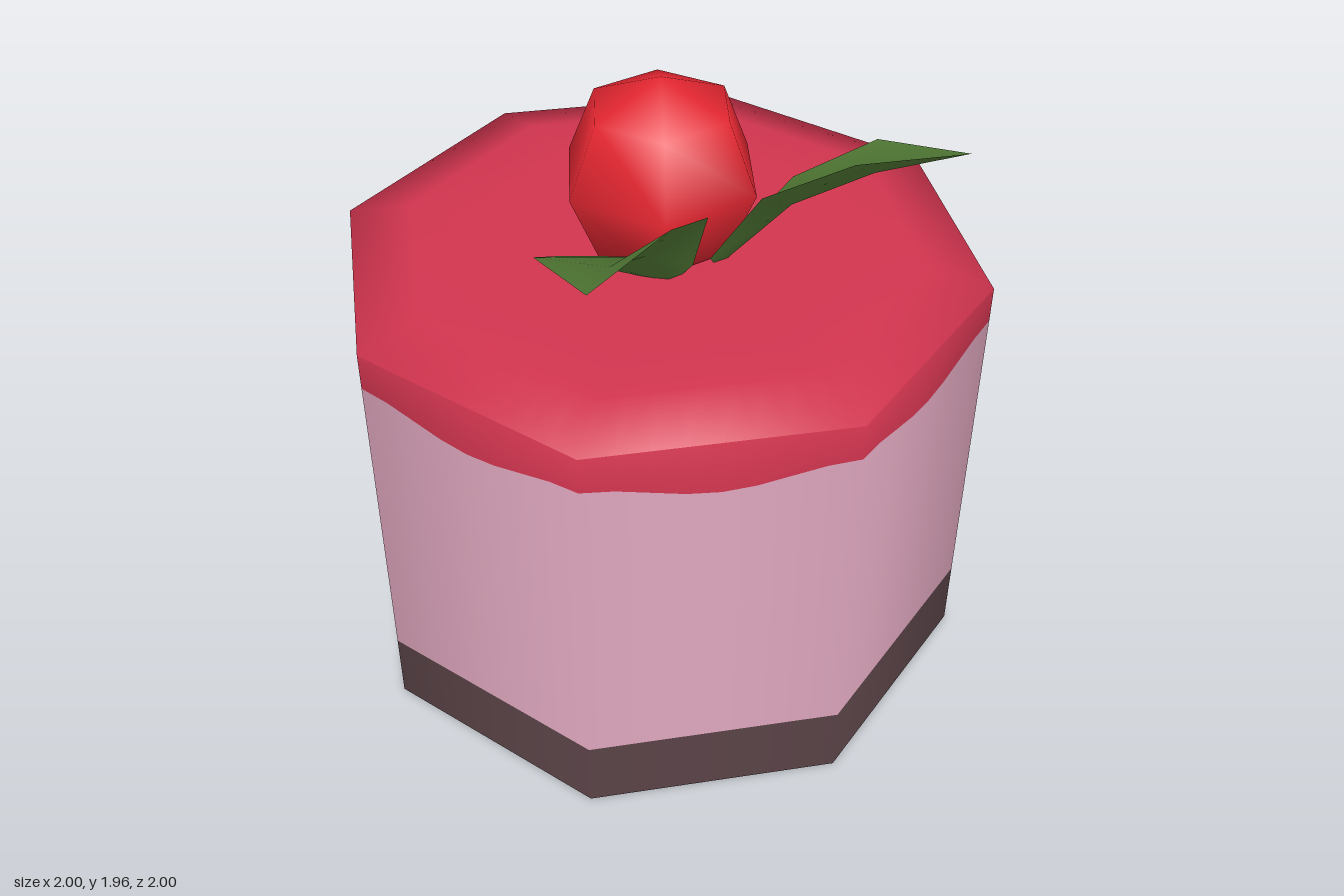
import * as THREE from 'three';

const SIDES = 8;
const STEPS = 8; // columns on each side, so the icing edge can wave

const mat = (name, color, side = THREE.FrontSide) => {
  const m = new THREE.MeshStandardMaterial({ color, side });
  m.name = name;
  return m;
};

function buildGeometry(positions, normals, index) {
  const g = new THREE.BufferGeometry();
  g.setAttribute('position', new THREE.Float32BufferAttribute(positions, 3));
  if (normals) g.setAttribute('normal', new THREE.Float32BufferAttribute(normals, 3));
  g.setIndex(index);
  if (!normals) g.computeVertexNormals();
  return g;
}

// Octagonal band through rings of { r, y, tilt }; y may be a function of the
// angle, tilt is the upward angle of the smooth normal.
function octagonBand(rings) {
  const pos = [], nor = [], idx = [];
  const cols = SIDES * STEPS;
  for (const { r, y, tilt = 0 } of rings) {
    for (let i = 0; i <= cols; i++) {
      const side = Math.floor(i / STEPS), f = (i % STEPS) / STEPS;
      const a = (side / SIDES) * Math.PI * 2, b = a + (Math.PI * 2) / SIDES;
      const x = THREE.MathUtils.lerp(Math.sin(a), Math.sin(b), f);
      const z = THREE.MathUtils.lerp(Math.cos(a), Math.cos(b), f);
      pos.push(r * x, typeof y === 'function' ? y(i / STEPS) : y, r * z);
      const n = new THREE.Vector3(x, 0, z).normalize().multiplyScalar(Math.cos(tilt));
      nor.push(n.x, Math.sin(tilt), n.z);
    }
  }
  for (let k = 0; k < rings.length - 1; k++) {
    for (let i = 0; i < cols; i++) {
      const a = k * (cols + 1) + i, c = a + cols + 1;
      idx.push(a, a + 1, c + 1, a, c + 1, c);
    }
  }
  return buildGeometry(pos, nor, idx);
}

// Folded leaf: rows of [inner edge, spine, outer edge] from base to tip
function leafGeometry(side, tip) {
  const rows = [
    [[0.03, 1.45, 0.22], [0.08, 1.39, 0.19], [0.22, 1.44, 0.12]],
    [[0.09, 1.72, 0.38], [0.25, 1.61, 0.31], [0.40, 1.56, 0.12]],
    [[0.30, 1.83, 0.52], [0.44, 1.72, 0.44], [0.58, 1.71, 0.28]],
  ];
  const pos = [...rows.flat(), tip].flatMap(([x, y, z]) => [x * side, y, z]);
  const tris = [];
  for (let r = 0; r < 2; r++) {
    for (let c = 0; c < 2; c++) {
      const a = r * 3 + c;
      tris.push([a, a + 3, a + 4], [a, a + 4, a + 1]);
    }
  }
  tris.push([6, 9, 7], [7, 9, 8]);
  // keep the upper face as the front on both sides
  const idx = tris.flatMap(([a, b, c]) => (side > 0 ? [a, b, c] : [a, c, b]));
  return buildGeometry(pos, null, idx);
}

export function createModel() {
  const model = new THREE.Group();
  model.name = 'cake';
  const crust = mat('chocolate crust', 0x5a4347);
  const sponge = mat('pink cream', 0xdfa7be);
  const icing = mat('red icing', 0xd2354f);
  const berry = mat('berry red', 0xea2833);
  const leaf = mat('leaf green', 0x568038, THREE.DoubleSide);

  const add = (name, geometry, material) => {
    const m = new THREE.Mesh(geometry, material);
    m.name = name;
    model.add(m);
    return m;
  };

  // Icing hangs lowest in the middle of each side
  const drip = (t) => 1.232 + 0.028 * Math.cos(t * Math.PI * 2);

  // Cake body
  add('crust', octagonBand([{ r: 1, y: 0 }, { r: 1, y: 0.23 }]), crust);
  add('crustBottom', new THREE.CircleGeometry(1, SIDES).rotateX(Math.PI / 2), crust);
  add('creamSide', octagonBand([{ r: 1, y: 0.23 }, { r: 1, y: drip }]), sponge);

  // Icing: wavy rim, bevel and flat top
  add('icingRim', octagonBand([{ r: 1, y: drip }, { r: 1, y: 1.375, tilt: 0.25 }]), icing);
  add('icingTop', octagonBand([
    { r: 1, y: 1.375, tilt: 0.6 },
    { r: 0.8, y: 1.42, tilt: 1.45 },
    { r: 0.6, y: 1.42, tilt: Math.PI / 2 },
    { r: 0, y: 1.42, tilt: Math.PI / 2 },
  ]), icing);

  // Berry with two leaves
  add('berry', new THREE.SphereGeometry(0.31, 6, 4), berry).position.y = 1.645;
  add('leftLeaf', leafGeometry(1, [0.65, 1.795, 0.6]), leaf);
  add('rightLeaf', leafGeometry(-1, [0.62, 1.81, 0.63]), leaf);

  return model;
}
